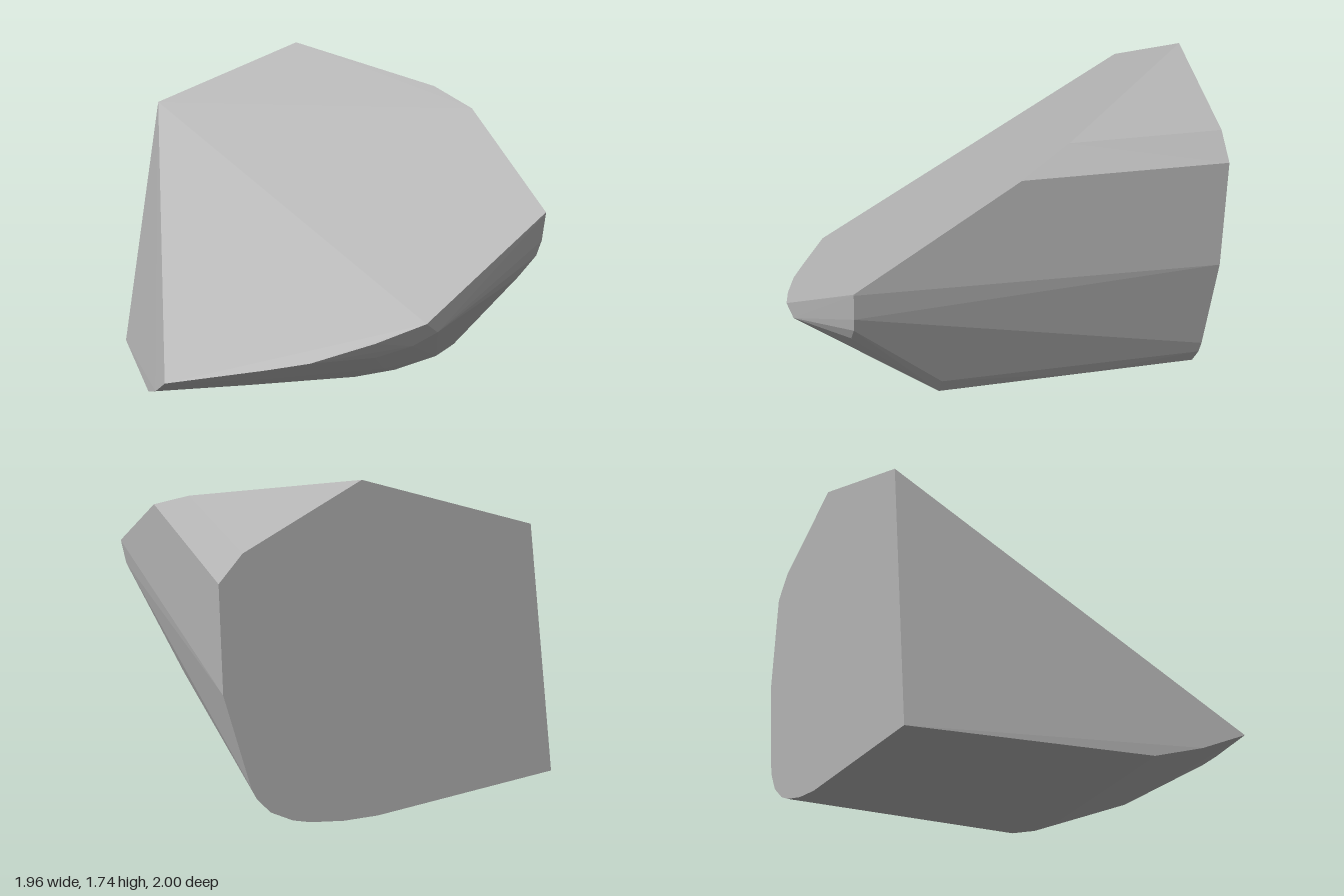
import * as THREE from 'three';
import { ConvexGeometry } from 'three/addons/geometries/ConvexGeometry.js';

// The stone is a rounded pebble cut by flat planes: each rule gives the missing coordinate.
const onSlope = (x, z) => new THREE.Vector3(x, 1.003 + 0.385 * x - 0.615 * z, z);
const onBack = (x, y) => new THREE.Vector3(x, y, -0.989 - 0.0115 * x);
const onRight = (y, z) => new THREE.Vector3(0.975, y, z);
const free = (x, y, z) => new THREE.Vector3(x, y, z);

export function createModel() {
  const group = new THREE.Group();
  group.name = 'rock';
  const stone = new THREE.MeshStandardMaterial({ color: 0xb4b4b4 });
  stone.name = 'grey stone';

  // Rim of the large sloping cut
  const slope = [
    [-0.98, 0.67], [-0.54, -0.983], [0.32, -0.993], [0.87, -0.26], [0.975, -0.01],
    [0.975, 0.76], [0.19, 1.0], [-0.06, 0.97], [-0.36, 0.91], [-0.55, 0.84],
  ].map((p) => onSlope(...p));

  // Rim of the upright back cut
  const back = [
    [0.865, 1.49], [0.975, 1.37], [0.975, 0.84], [0.86, 0.335], [0.835, 0.27], [0.77, 0.18],
    [0.66, 0.105], [0.57, 0.07], [0.4, 0.03], [0.22, 0.01], [-0.76, 0.01],
  ].map((p) => onBack(...p));

  // Side edge, front corner and the worn curve of the underside
  const side = [[0.905, 0.76], [0.84, -0.99]].map((p) => onRight(...p));
  const under = [
    [0.955, 0.77, 0.76], [0.925, 0.695, 0.76], [0.825, 0.595, 0.76],
    [0.26, 0.41, 0.975], [0.14, 0.35, 0.955], [-0.03, 0.3, 0.91], [-0.2, 0.295, 0.895],
    [0.78, 0.26, 0.32], [0.705, 0.155, 0.32], [0.6, 0.1, 0.32], [0.36, 0.05, 0.32], [0.1, 0.035, 0.31],
    [0.1, 0.19, 0.73], [0.1, 0.115, 0.54], [0.08, 0.07, 0.43], [-0.5, 0.19, 0.69], [-0.5, 0.11, 0.5],
    [-0.96, 0.11, 0.43], [-0.93, 0.035, 0.18], [0.77, 0.19, -0.4], [-0.1, 0, -0.7],
  ].map((p) => free(...p));

  const rock = new THREE.Mesh(new ConvexGeometry([...slope, ...back, ...side, ...under]), stone);
  rock.name = 'stoneBody';
  group.add(rock);
  return group;
}
